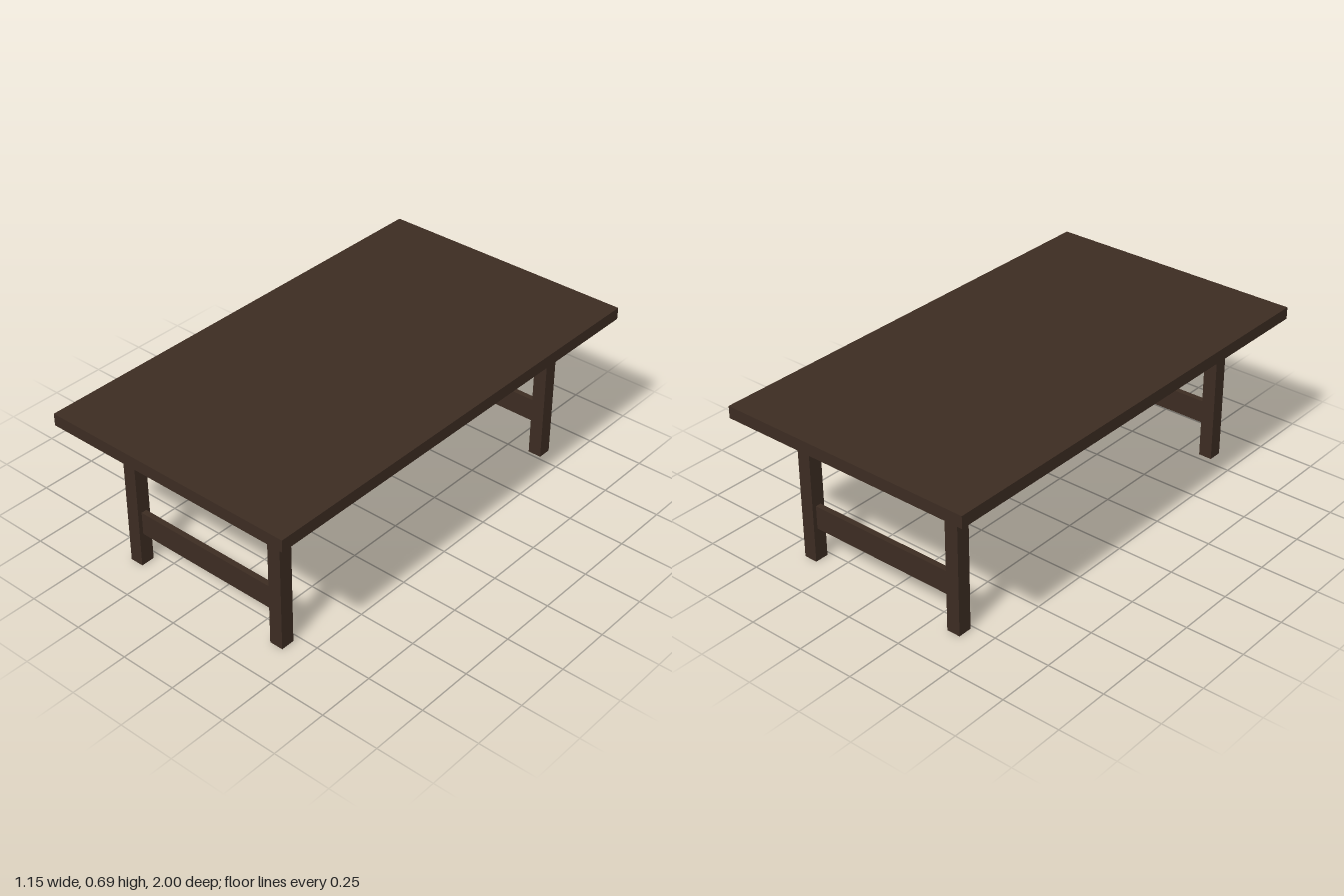
import * as THREE from 'three';

export function createModel() {
  const model = new THREE.Group();
  model.name = 'table';
  const wood = new THREE.MeshStandardMaterial({ color: 0x3c2c22 });
  wood.name = 'dark brown wood';

  // Adds a box spanning the given [min, max] ranges
  function addBox(name, [x0, x1], [y0, y1], [z0, z1]) {
    const mesh = new THREE.Mesh(new THREE.BoxGeometry(x1 - x0, y1 - y0, z1 - z0), wood);
    mesh.name = name;
    mesh.position.set((x0 + x1) / 2, (y0 + y1) / 2, (z0 + z1) / 2);
    model.add(mesh);
  }

  const underside = 0.64;
  addBox('tabletop', [-0.574, 0.574], [underside, 0.692], [-1, 1]);

  // Apron frame set in from the edge of the top, open in the middle
  const ax = 0.513, az = 0.939, t = 0.06;
  const apronY = [0.594, underside];
  addBox('leftApron', [ax - t, ax], apronY, [-az, az]);
  addBox('rightApron', [-ax, -ax + t], apronY, [-az, az]);
  addBox('frontApron', [-ax + t, ax - t], apronY, [az - t, az]);
  addBox('backApron', [-ax + t, ax - t], apronY, [-az, -az + t]);

  // Two leg pairs, each joined by a low rail
  const ends = [['front', 0.779], ['back', -0.826]];
  for (const [end, z] of ends) {
    addBox(end + 'RightLeg', [-0.394, -0.334], [0, underside], [z, z + 0.061]);
    addBox(end + 'LeftLeg', [0.348, 0.408], [0, underside], [z, z + 0.061]);
    addBox(end + 'Rail', [-0.334, 0.348], [0.146, 0.248], [z + 0.018, z + 0.043]);
  }
  return model;
}
